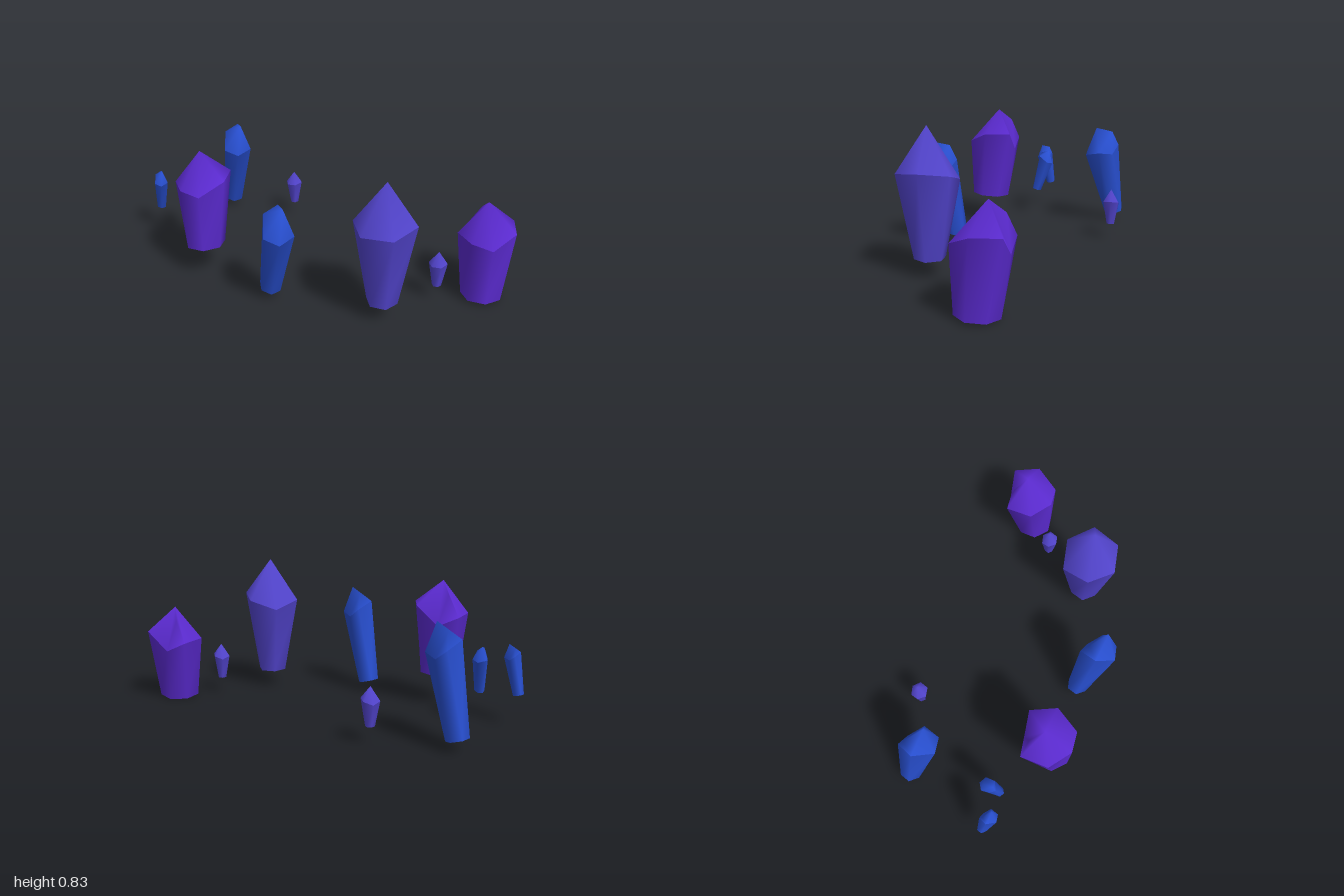
import * as THREE from 'three';
import { mergeVertices } from 'three/addons/utils/BufferGeometryUtils.js';

// Regular tilted ring, running from the left side through the front to the right.
function baseRing(n, [cx, cy, cz], r, tiltX, tiltZ) {
  return Array.from({ length: n }, (_, i) => {
    const a = Math.PI - (i / n) * Math.PI * 2;
    const x = Math.cos(a) * r, z = Math.sin(a) * r;
    return [cx + x, cy + x * tiltX + z * tiltZ, cz + z];
  });
}

// Band of faces between two rings; smooth inside the band, sharp at its ends.
function band(low, high, origin) {
  const pos = [];
  const same = (p, q) => p[0] === q[0] && p[1] === q[1] && p[2] === q[2];
  const tri = (...pts) => {
    if (same(pts[0], pts[1]) || same(pts[1], pts[2]) || same(pts[0], pts[2])) return;
    pts.forEach((p) => pos.push(p[0] - origin[0], p[1] - origin[1], p[2] - origin[2]));
  };
  low.forEach((a, i) => {
    const j = (i + 1) % low.length;
    tri(a, low[j], high[j]);
    tri(a, high[j], high[i]);
  });
  let g = new THREE.BufferGeometry();
  g.setAttribute('position', new THREE.Float32BufferAttribute(pos, 3));
  g = mergeVertices(g);
  g.computeVertexNormals();
  return g;
}

// A crystal shape: base, irregular rim, and one top point per rim corner.
function crystalShape({ center, radius, tilt, rim, tops, color }) {
  const n = rim.length;
  const base = baseRing(n, center, radius, tilt[0], tilt[1]);
  const middle = base.map(() => center);
  const material = new THREE.MeshStandardMaterial({ color });
  const parts = {
    shaft: band(base, rim, center),
    point: band(rim, tops, center),
    underside: band(middle, base, center),
  };
  return (name, position, scale = 1, turn = 0) => {
    const group = new THREE.Group();
    group.name = name;
    for (const [part, geometry] of Object.entries(parts)) {
      const mesh = new THREE.Mesh(geometry, material);
      mesh.name = part;
      group.add(mesh);
    }
    group.position.set(...position);
    group.scale.setScalar(scale);
    group.rotation.y = turn;
    return group;
  };
}

export function createModel() {
  const model = new THREE.Group();
  model.name = 'crystalField';

  // Tapered six-sided crystal with a tall point
  const indigoTip = [-0.08, 0.83, 0.64];
  const indigo = crystalShape({
    center: [-0.08, 0.107, 0.64], radius: 0.088, tilt: [0, 0], color: 0x5244cc,
    rim: [
      [-0.253, 0.57, 0.637], [-0.168, 0.582, 0.79], [0.007, 0.605, 0.79],
      [0.092, 0.58, 0.637], [0.007, 0.53, 0.487], [-0.168, 0.575, 0.487],
    ],
    tops: Array(6).fill(indigoTip),
  });

  // Stout seven-sided crystal with a notch in its rim
  const violetTip = [0.53, 0.577, 0.82], violetRidge = [0.575, 0.505, 0.745];
  const violet = crystalShape({
    center: [0.495, 0.012, 0.865], radius: 0.117, tilt: [-0.04, 0.07], color: 0x5a2ace,
    rim: [
      [0.368, 0.39, 0.857], [0.415, 0.375, 0.968], [0.569, 0.437, 0.995],
      [0.685, 0.435, 0.89], [0.63, 0.32, 0.777], [0.574, 0.377, 0.669], [0.42, 0.38, 0.714],
    ],
    tops: [violetTip, violetTip, violetTip, violetTip, violetTip, violetRidge, violetTip],
  });

  // Slender leaning crystal with a short ridge on top
  const blueTip = [-0.46, 0.65, 0.274], blueRidge = [-0.41, 0.617, 0.165];
  const blue = crystalShape({
    center: [-0.43, 0.065, 0.097], radius: 0.062, tilt: [0, -0.28], color: 0x284fd0,
    rim: [
      [-0.56, 0.49, 0.228], [-0.515, 0.468, 0.312], [-0.415, 0.49, 0.31],
      [-0.374, 0.475, 0.212], [-0.376, 0.53, 0.14], [-0.485, 0.572, 0.13],
    ],
    tops: [blueTip, blueTip, blueTip, blueRidge, blueRidge, blueRidge],
  });

  model.add(
    indigo('largeIndigoCrystal', [-0.08, 0.107, 0.64]),
    indigo('smallIndigoCrystalFront', [0.268, 0.1, 0.722], 0.3),
    indigo('smallIndigoCrystalBack', [0.268, 0.1, -0.562], 0.3),
    violet('violetCrystalFront', [0.495, 0.012, 0.865]),
    violet('violetCrystalBack', [-0.563, 0.197, -0.357]),
    blue('blueCrystalFront', [-0.43, 0.065, 0.097]),
    blue('blueCrystalBack', [0.03, 0.065, -0.946]),
    blue('smallBlueCrystalUpright', [-0.522, 0.18, -0.947], 0.47),
    blue('smallBlueCrystalTurned', [-0.47, 0.17, -0.725], 0.47, 2.4),
  );
  return model;
}
